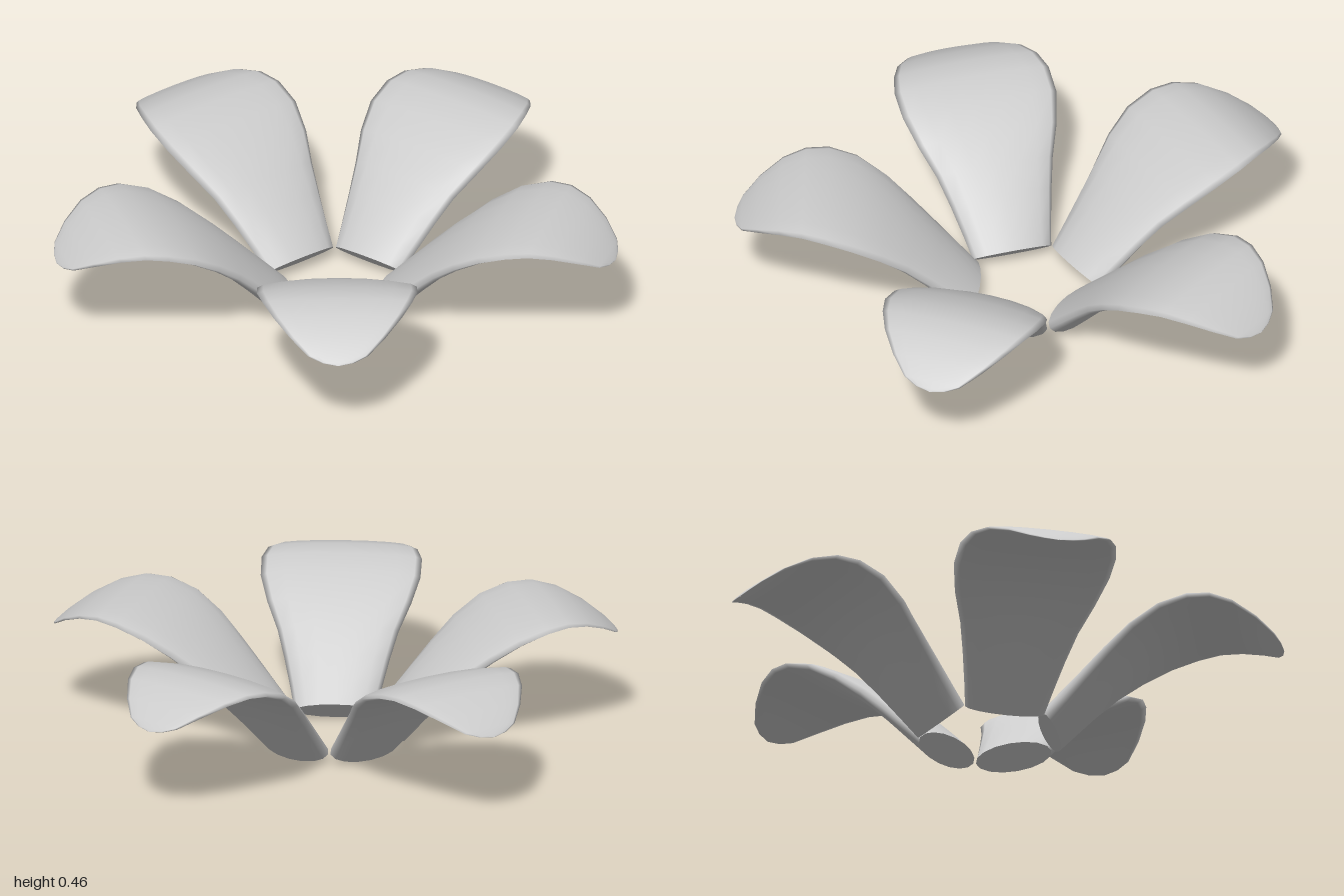
import * as THREE from 'three';

// Petal stations from base to tip: distance out, height, half width, half thickness
const STATIONS = [
  [0.208, 0.046, 0.145, 0.054],
  [0.268, 0.108, 0.162, 0.052],
  [0.348, 0.190, 0.187, 0.047],
  [0.428, 0.268, 0.215, 0.042],
  [0.518, 0.343, 0.256, 0.035],
  [0.618, 0.405, 0.284, 0.029],
  [0.718, 0.440, 0.285, 0.023],
  [0.798, 0.449, 0.265, 0.019],
  [0.878, 0.434, 0.228, 0.015],
  [0.958, 0.397, 0.168, 0.011],
  [1.016, 0.357, 0.105, 0.007],
  [1.036, 0.341, 0.055, 0.004],
  [1.044, 0.334, 0.002, 0.001],
];
const SIDES = 16;

// One petal pointing to -z: lens sections swept along an arched spine
function petalGeometry() {
  const pos = [], index = [];
  const last = STATIONS.length - 1;
  STATIONS.forEach(([r, y, w, t], i) => {
    const a = STATIONS[Math.max(i - 1, 0)], b = STATIONS[Math.min(i + 1, last)];
    const tilt = Math.atan2(b[1] - a[1], b[0] - a[0]);
    for (let j = 0; j < SIDES; j++) {
      const angle = (j / SIDES) * Math.PI * 2;
      const n = Math.sin(angle) * t;
      pos.push(Math.cos(angle) * w, y + n * Math.cos(tilt), -r + n * Math.sin(tilt));
    }
  });
  for (let i = 0; i < last; i++) {
    for (let j = 0; j < SIDES; j++) {
      const k = (j + 1) % SIDES;
      const a = i * SIDES + j, b = i * SIDES + k;
      index.push(a, a + SIDES, b, b, a + SIDES, b + SIDES);
    }
  }
  // flat cap at the base, with its own vertices for a sharp edge
  const cap = pos.length / 3;
  pos.push(...pos.slice(0, SIDES * 3));
  for (let j = 1; j < SIDES - 1; j++) index.push(cap, cap + j, cap + j + 1);

  const geometry = new THREE.BufferGeometry();
  geometry.setAttribute('position', new THREE.Float32BufferAttribute(pos, 3));
  geometry.setIndex(index);
  geometry.computeVertexNormals();
  return geometry;
}

export function createModel() {
  const group = new THREE.Group();
  group.name = 'flower';
  const material = new THREE.MeshStandardMaterial({ color: 0xcccccc });
  const geometry = petalGeometry();

  // Five petals in a ring around the flower's centre
  for (let i = 0; i < 5; i++) {
    const petal = new THREE.Mesh(geometry, material);
    petal.name = `petal${i + 1}`;
    petal.rotation.y = (i * Math.PI * 2) / 5;
    petal.position.z = 0.076;
    group.add(petal);
  }
  return group;
}
